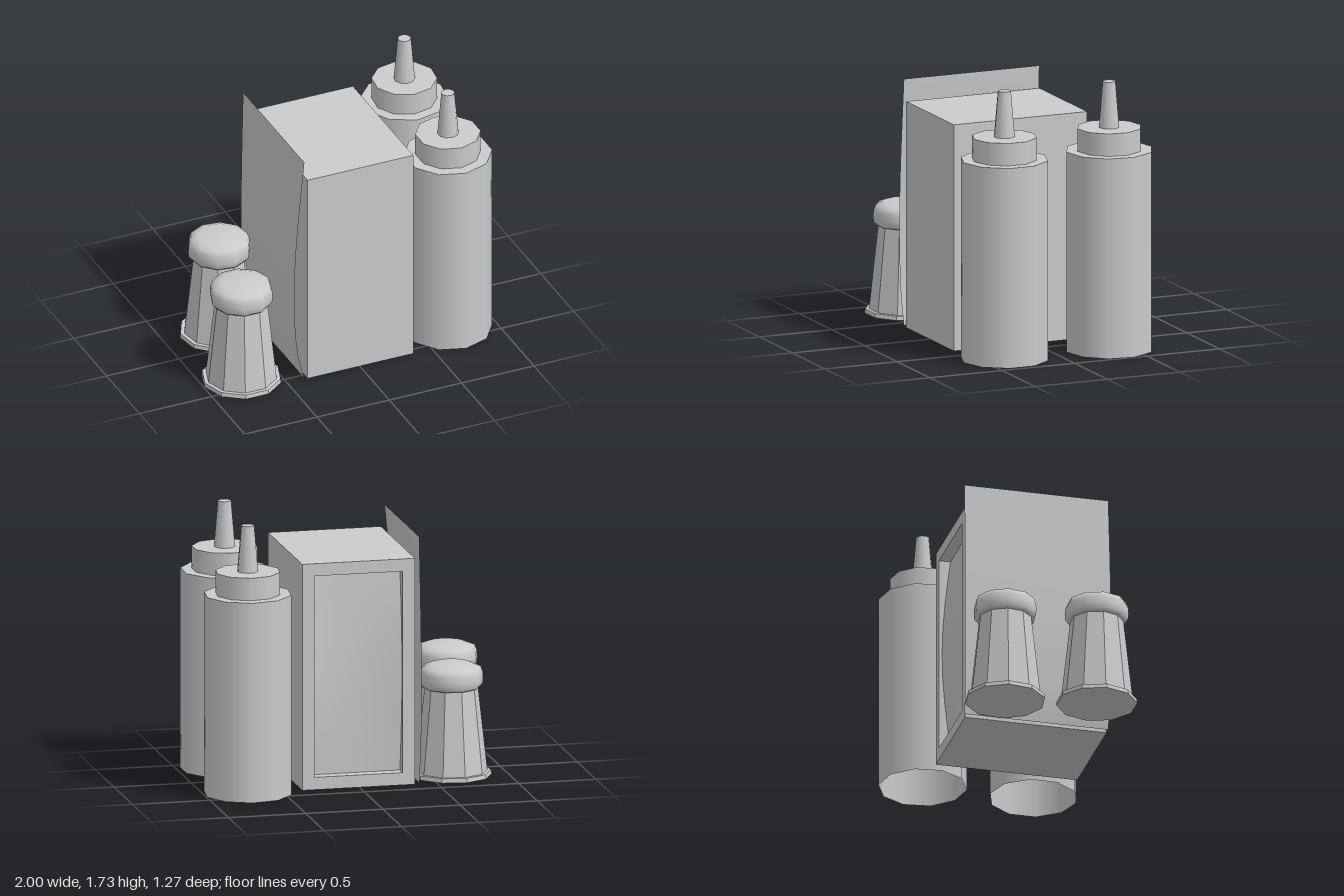
import * as THREE from 'three';

const SIDES = 10;
const smooth = new THREE.MeshStandardMaterial({ color: 0xcccccc });
const flat = new THREE.MeshStandardMaterial({ color: 0xcccccc, flatShading: true });
const thin = new THREE.MeshStandardMaterial({ color: 0xcccccc, side: THREE.DoubleSide });

function add(parent, name, geometry, material, x = 0, y = 0, z = 0) {
  const mesh = new THREE.Mesh(geometry, material);
  mesh.name = name;
  mesh.position.set(x, y, z);
  parent.add(mesh);
  return mesh;
}

// Sheet spanned by a rule: point(u, v) with u, v in 0..1
function sheet(nu, nv, point) {
  const g = new THREE.PlaneGeometry(1, 1, nu, nv);
  const p = g.attributes.position;
  for (let i = 0; i < p.count; i++) {
    p.setXYZ(i, ...point(p.getX(i) + 0.5, p.getY(i) + 0.5));
  }
  g.computeVertexNormals();
  return g;
}

// Squeeze bottle: open-bottomed body, collar and tapered nozzle
function makeBottle(name, x, z, turn) {
  const bottle = new THREE.Group();
  bottle.name = name;
  const body = new THREE.CylinderGeometry(0.28, 0.28, 1.29, SIDES, 1, true);
  add(bottle, 'bottleBody', body, thin, 0, 0.645, 0);
  const shoulder = new THREE.CircleGeometry(0.28, SIDES, Math.PI / 2).rotateX(-Math.PI / 2);
  add(bottle, 'bottleShoulder', shoulder, thin, 0, 1.29, 0);
  add(bottle, 'bottleCollar', new THREE.CylinderGeometry(0.207, 0.207, 0.145, SIDES), smooth, 0, 1.3625, 0);
  add(bottle, 'bottleNozzle', new THREE.CylinderGeometry(0.042, 0.067, 0.295, SIDES), smooth, 0, 1.5825, 0);
  bottle.position.set(x, 0, z);
  bottle.rotation.y = turn;
  return bottle;
}

// Shaker: thin foot, faceted glass and rounded cap
function makeShaker(name, x, z, turn) {
  const shaker = new THREE.Group();
  shaker.name = name;
  add(shaker, 'shakerFoot', new THREE.CylinderGeometry(0.252, 0.256, 0.028, SIDES), flat, 0, 0.021, 0);
  add(shaker, 'shakerGlass', new THREE.CylinderGeometry(0.168, 0.228, 0.55, SIDES), flat, 0, 0.305, 0);
  const profile = [[0, 0.575], [0.185, 0.575], [0.198, 0.592], [0.202, 0.625], [0.199, 0.668],
    [0.185, 0.704], [0.13, 0.726], [0, 0.732]].map(([r, y]) => new THREE.Vector2(r, y));
  add(shaker, 'shakerCap', new THREE.LatheGeometry(profile, SIDES), smooth);
  shaker.position.set(x, 0, z);
  shaker.rotation.y = turn;
  return shaker;
}

// Napkin dispenser: box with a framed opening at the back, napkins inside
function makeDispenser() {
  const dispenser = new THREE.Group();
  dispenser.name = 'napkinDispenser';
  const [x0, x1, h, back, recess, rim] = [-0.36, 0.37, 1.46, -0.37, 0.1, 0.08];
  const depth = 0.55 - back - recess;
  add(dispenser, 'dispenserBox', new THREE.BoxGeometry(x1 - x0, h, depth), flat,
    (x0 + x1) / 2, h / 2, 0.55 - depth / 2);

  const rect = (C, m) => new C([[x0 + m, m], [x1 - m, m], [x1 - m, h - m], [x0 + m, h - m]]
    .map(([x, y]) => new THREE.Vector2(x, y)));
  const outline = rect(THREE.Shape, 0);
  outline.holes.push(rect(THREE.Path, rim));
  add(dispenser, 'dispenserFrame', new THREE.ExtrudeGeometry(outline, { depth: recess, bevelEnabled: false }),
    flat, 0, 0, back);

  // Napkin stack bulges at both sides and is pinched at the centre fold
  const napkins = sheet(2, 8, (u, v) => {
    const swell = Math.sin(Math.PI * v);
    const inset = u === 0.5 ? 0.075 + 0.015 * swell : 0.075 - 0.055 * swell;
    return [x1 - rim - u * (x1 - x0 - 2 * rim), rim + v * (h - 2 * rim), back + inset];
  });
  add(dispenser, 'napkins', napkins, thin);
  return dispenser;
}

// Menu card leaning against the dispenser, bowed outward most at its front edge
function makeMenu() {
  const card = sheet(1, 10, (u, v) => {
    const bow = Math.sin(Math.PI * Math.pow(v, 0.7));
    return [-0.385 - bow * (0.015 + 0.055 * u), 0.01 + v * 1.59, -0.38 + u * 0.935];
  });
  const menu = new THREE.Group();
  menu.name = 'menu';
  add(menu, 'menuCard', card, thin);
  return menu;
}

export function createModel() {
  const model = new THREE.Group();
  model.name = 'tableCondimentSet';
  model.add(
    makeDispenser(),
    makeMenu(),
    makeBottle('frontBottle', 0.7, 0.35, 0),
    makeBottle('backBottle', 0.722, -0.363, -0.12),
    makeShaker('frontShaker', -0.744, 0.386, Math.PI / 10),
    makeShaker('backShaker', -0.64, -0.183, 0.16),
  );
  return model;
}
